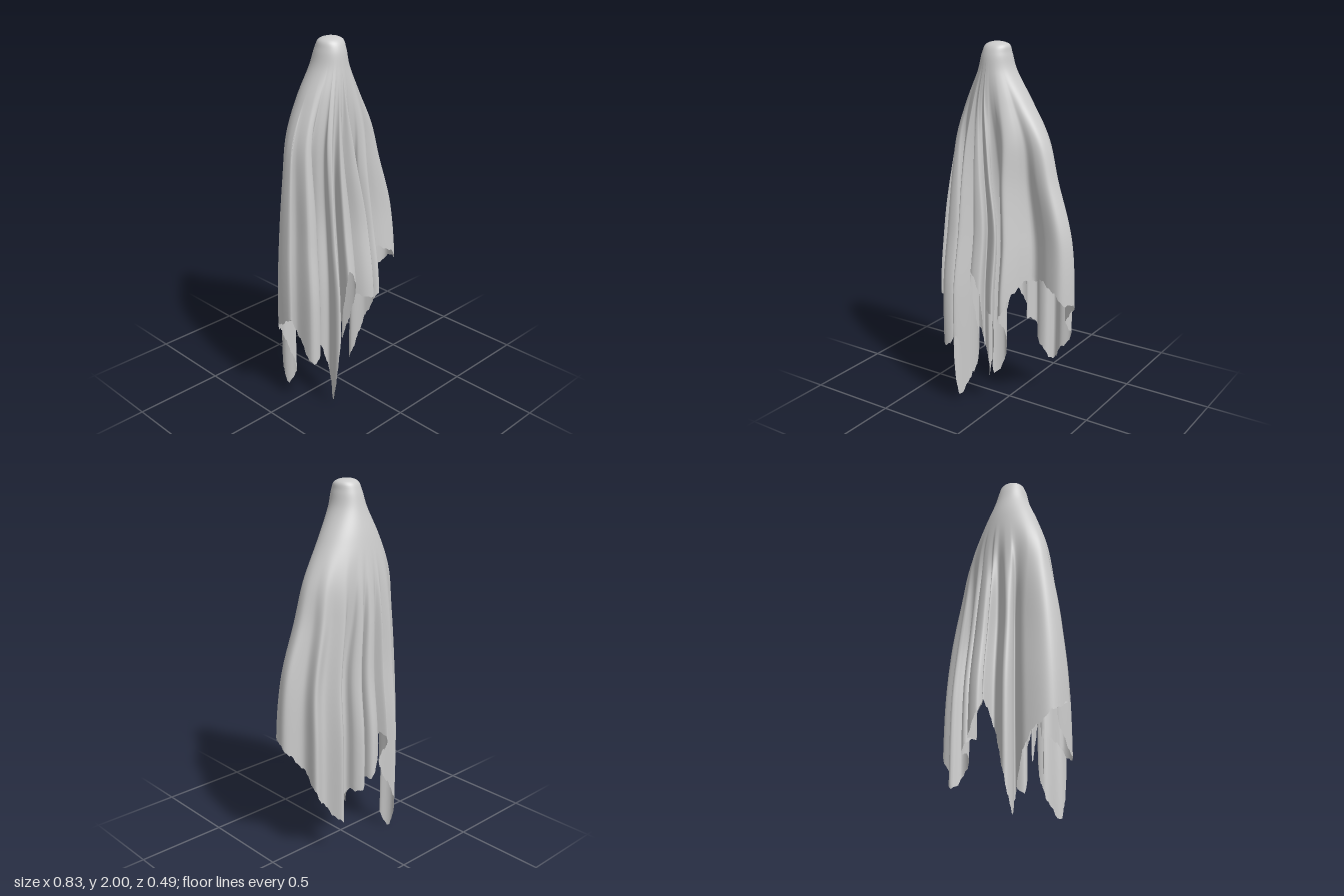
import * as THREE from 'three';

const COLS = 460, ROWS = 80;

// Folded plan of the cloth: x, z and the height of the hem there
const PLAN = [
  [.41, 0, .64], [.38, .09, .69], [.29, .09, .77], [.19, .05, .77], [.16, .1, .76],
  [.14, .16, .73], [.09, .23, .6], [.05, .18, .54], [.06, .12, .45], [.02, .09, .25],
  [-.02, .12, .2], [.03, .19, .48], [.04, .24, .6], [0, .22, .62], [-.05, .15, .6],
  [-.08, .12, .35], [-.06, .21, .7], [-.11, .22, .79], [-.11, .13, .35], [-.14, .15, .18],
  [-.2, .23, .42], [-.21, .185, .04], [-.17, .12, .16], [-.21, .08, .35], [-.25, .03, .42],
  [-.27, .07, .42], [-.27, .15, .36], [-.33, .16, .3], [-.35, .05, .48], [-.38, .03, .55],
  [-.41, .08, .57], [-.4, -.03, .5], [-.3, -.11, .36], [-.21, -.11, .08], [-.24, -.15, .01],
  [-.23, -.2, .2], [-.13, -.17, .45], [-.12, -.24, .62], [-.08, -.17, .66], [-.06, -.23, .53],
  [0, -.23, .41], [.01, -.16, .44], [.04, -.23, .38], [.08, -.2, .36], [.09, -.15, .35],
  [.15, -.15, .25], [.17, -.21, .2], [.24, -.14, .3], [.31, -.15, .4], [.32, -.06, .52],
];

// Silhouette by height: y, min x, max x, min z, max z
const LIMITS = [
  [2, -.06, -.06, .02, .02], [1.985, -.118, .002, -.036, .076], [1.94, -.138, .016, -.06, .102],
  [1.85, -.165, .04, -.086, .117], [1.7, -.24, .125, -.13, .138], [1.5, -.32, .235, -.168, .158],
  [1.3, -.355, .295, -.188, .175], [1, -.39, .385, -.207, .2], [.65, -.41, .41, -.24, .245],
  [0, -.41, .41, -.24, .245],
];

// Smooth interpolation over sqrt(2 - y), which keeps the crown round
function limitsAt(y) {
  const key = i => Math.sqrt(2 - LIMITS[i][0]);
  const s = Math.sqrt(Math.max(0, 2 - y)), last = LIMITS.length - 1;
  let i = 0;
  while (i < last - 1 && key(i + 1) < s) i++;
  const h = key(i + 1) - key(i), t = (s - key(i)) / h;
  const slope = (j, c) => {
    const a = Math.max(0, j - 1), b = Math.min(last, j + 1);
    return (LIMITS[b][c] - LIMITS[a][c]) / (key(b) - key(a));
  };
  return [1, 2, 3, 4].map(c => {
    const p = LIMITS[i][c], q = LIMITS[i + 1][c];
    return p * (1 + 2 * t) * (1 - t) ** 2 + q * t * t * (3 - 2 * t)
      + h * (slope(i, c) * t * (1 - t) ** 2 - slope(i + 1, c) * t * t * (1 - t));
  });
}

function sheetGeometry() {
  const curve = new THREE.CatmullRomCurve3(
    PLAN.map(([x, z, hem]) => new THREE.Vector3(x, hem, z)), true, 'centripetal');
  curve.arcLengthDivisions = 1500;
  const plan = curve.getSpacedPoints(COLS).slice(0, COLS);

  // Direction of each column before the folds form
  const angles = plan.map((_, i) => {
    let x = 0, z = 0;
    for (let k = -36; k <= 36; k++) {
      const p = plan[(i + k + COLS) % COLS];
      x += p.x;
      z += p.z;
    }
    return Math.atan2(z / .2, x / .4);
  });

  const position = [-.06, 2, .02], index = [];
  for (let r = 1; r <= ROWS; r++) {
    const t = (r / ROWS) ** 1.5;
    for (let c = 0; c < COLS; c++) {
      const p = plan[c];
      // Slightly ragged hem
      const ragged = .008 * Math.sin(c * .83) + .006 * Math.sin(c * 2.1);
      const y = 2 - (2 - Math.max(0, p.y + ragged)) * t;
      const [x0, x1, z0, z1] = limitsAt(y);
      // Folds start high at the front and lower down the back
      const front = THREE.MathUtils.smoothstep(Math.sin(angles[c]), -.5, .8);
      const fold = 1 - THREE.MathUtils.smoothstep(y, 1, 1.68 + .25 * front);
      const u = THREE.MathUtils.lerp(Math.cos(angles[c]), p.x / .41, fold);
      const v = THREE.MathUtils.lerp(Math.sin(angles[c]), p.z / .24, fold);
      position.push((x0 + x1) / 2 + u * (x1 - x0) / 2, y, (z0 + z1) / 2 + v * (z1 - z0) / 2);
    }
  }
  // Crown fan, then quads wrapping round the sheet
  for (let c = 0; c < COLS; c++) {
    const n = (c + 1) % COLS;
    index.push(0, 1 + n, 1 + c);
    for (let r = 0; r < ROWS - 1; r++) {
      const a = 1 + r * COLS + c, b = 1 + r * COLS + n;
      index.push(a, b, a + COLS, b, b + COLS, a + COLS);
    }
  }
  const geometry = new THREE.BufferGeometry();
  geometry.setAttribute('position', new THREE.Float32BufferAttribute(position, 3));
  geometry.setIndex(index);
  geometry.computeVertexNormals();
  return geometry;
}

export function createModel() {
  const group = new THREE.Group();
  group.name = 'drapedGhost';
  const cloth = new THREE.MeshStandardMaterial({ color: 0xcccccc, side: THREE.DoubleSide });
  const sheet = new THREE.Mesh(sheetGeometry(), cloth);
  sheet.name = 'drapedSheet';
  group.add(sheet);
  return group;
}
